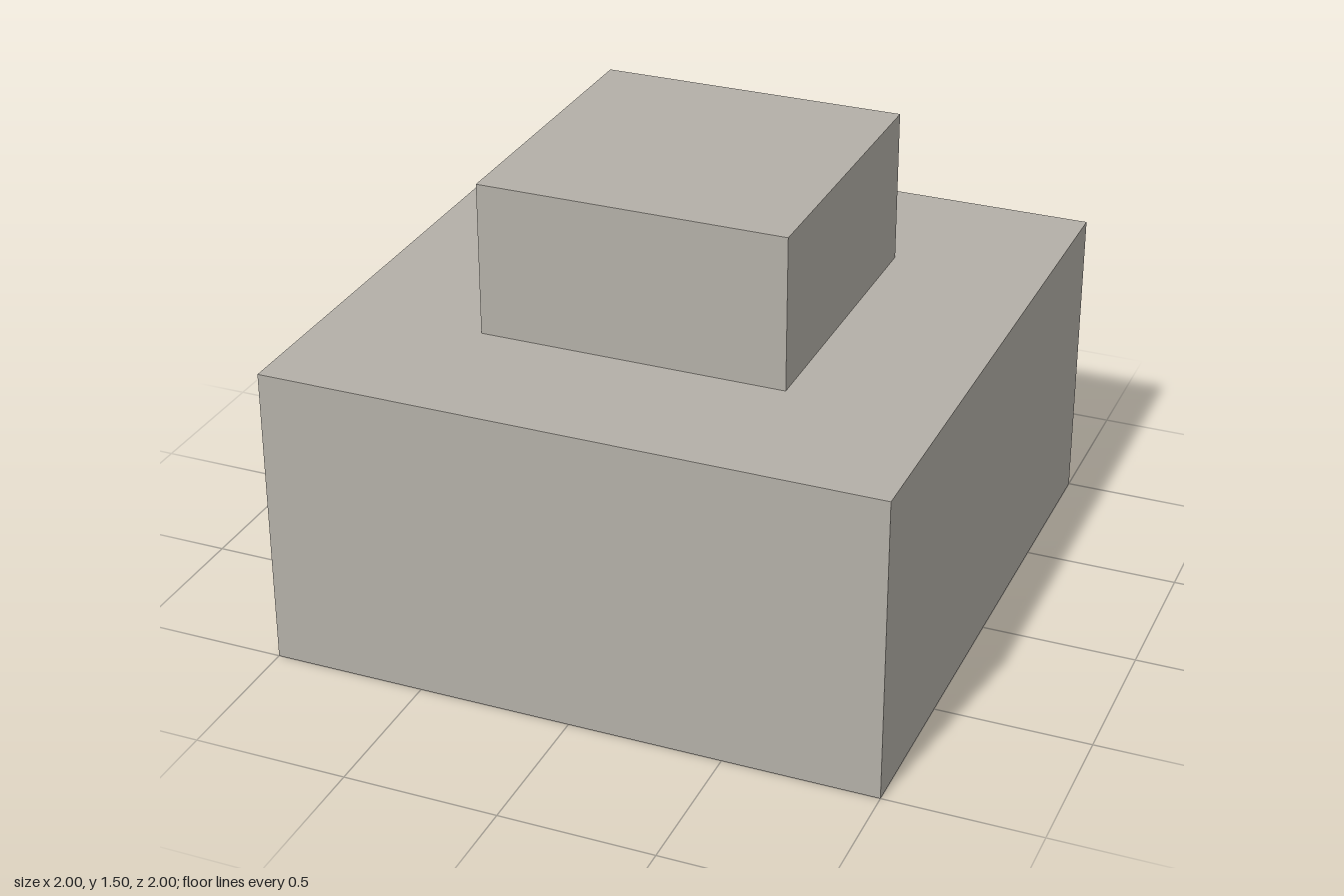
import * as THREE from 'three';

export function createModel() {
  const model = new THREE.Group();
  const stone = new THREE.MeshStandardMaterial({
    color: 0xb3afa7, flatShading: true, side: THREE.DoubleSide,
  });
  stone.name = 'warm grey';

  const add = (name, geometry, y) => {
    const mesh = new THREE.Mesh(geometry, stone);
    mesh.name = name;
    mesh.position.y = y;
    model.add(mesh);
  };

  // Four thin walls around a square of the given half width
  const walls = (half, height) => {
    const r = half * Math.SQRT2;
    return new THREE.CylinderGeometry(r, r, height, 4, 1, true, Math.PI / 4);
  };

  // Hollow base, open underneath
  add('baseWalls', walls(1, 1), 0.5);

  // Square ledge with an opening into the upper block
  const ledge = new THREE.RingGeometry(Math.SQRT1_2, Math.SQRT2, 4, 1, Math.PI / 4);
  add('ledge', ledge.rotateX(-Math.PI / 2), 1);

  // Hollow upper block, closed on top
  add('upperWalls', walls(0.5, 0.5), 1.25);
  add('upperTop', new THREE.PlaneGeometry(1, 1).rotateX(-Math.PI / 2), 1.5);

  return model;
}
